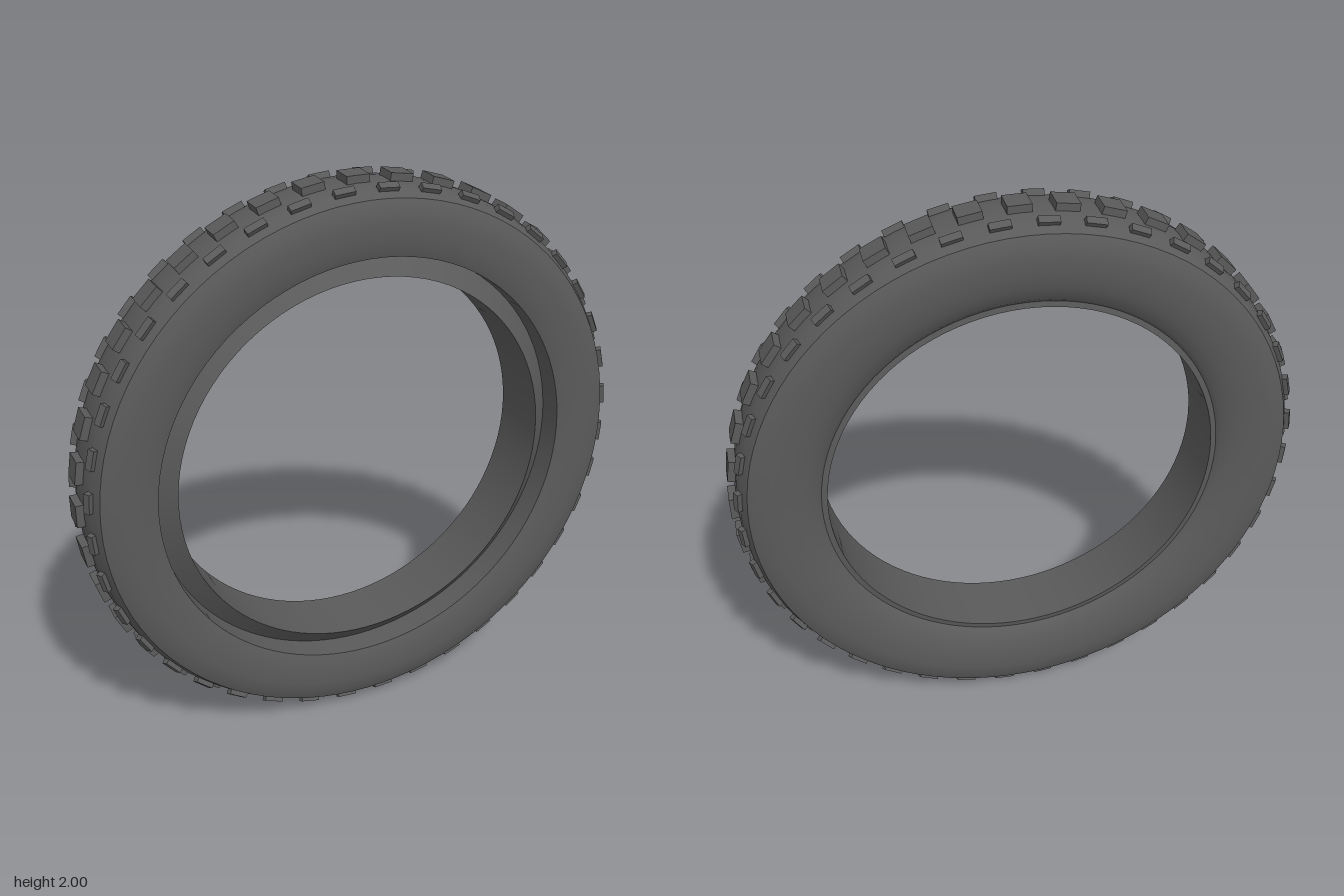
import * as THREE from 'three';
import { toCreasedNormals } from 'three/addons/utils/BufferGeometryUtils.js';

const rubber = new THREE.MeshStandardMaterial({ color: 0x5a5a5a });

// Cross-section points are [radius, z]; the outer half runs from tread centre to bead.
const outerHalf = [
  [0.976, 0], [0.974, 0.05], [0.967, 0.092], [0.945, 0.135],
  [0.915, 0.149], [0.87, 0.155], [0.82, 0.153], [0.775, 0.147], [0.755, 0.14],
];
// Deep groove and raised bore edge at the front, rolled-in bead at the back.
const frontBead = [[0.752, 0.05], [0.68, 0.115]];
const backBead = [[0.68, -0.115], [0.7, -0.112], [0.715, -0.128]];

function makeCarcass() {
  const backHalf = outerHalf.slice(1).reverse().map(([r, z]) => [r, -z]);
  const section = [...backBead, ...backHalf, ...outerHalf, ...frontBead, backBead[0]];
  const geometry = new THREE.LatheGeometry(section.map(([r, z]) => new THREE.Vector2(r, z)), 96);
  geometry.rotateX(Math.PI / 2);
  const mesh = new THREE.Mesh(toCreasedNormals(geometry, 0.6), rubber);
  mesh.name = 'carcass';
  return mesh;
}

// A ring of tread blocks; each block sits at a radius and z, leaning sideways by tilt.
function makeKnobRing(name, size, radius, z, tilt, phase) {
  const count = 40;
  const ring = new THREE.Group();
  ring.name = name;
  const geometry = new THREE.BoxGeometry(...size);
  geometry.rotateX(tilt);
  geometry.translate(0, radius, z);
  for (let i = 0; i < count; i++) {
    const knob = new THREE.Mesh(geometry, rubber);
    knob.name = 'treadBlock';
    knob.rotation.z = ((i + phase) / count) * Math.PI * 2;
    ring.add(knob);
  }
  return ring;
}

export function createModel() {
  const tire = new THREE.Group();
  tire.name = 'tire';
  tire.add(makeCarcass());

  // Large centre blocks
  tire.add(makeKnobRing('centreTread', [0.08, 0.05, 0.08], 0.975, 0, 0, 0));

  // Small shoulder blocks, staggered between the centre ones
  for (const side of [1, -1]) {
    const name = side > 0 ? 'frontShoulderTread' : 'backShoulderTread';
    tire.add(makeKnobRing(name, [0.07, 0.04, 0.025], 0.963, side * 0.094, side * 0.55, 0.5));
  }

  tire.position.y = 1;
  const model = new THREE.Group();
  model.add(tire);
  return model;
}
